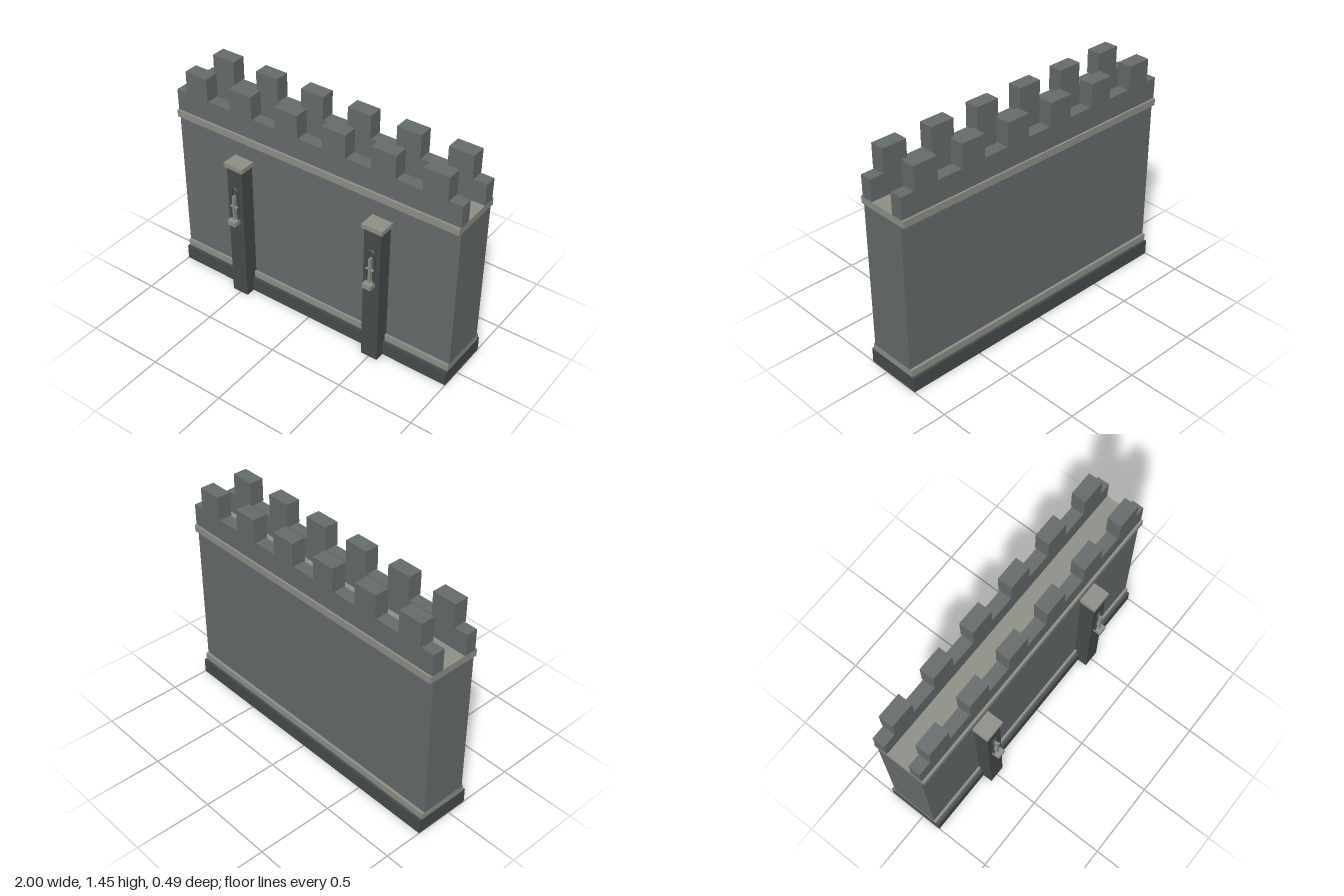
import * as THREE from 'three';

const stone = new THREE.MeshStandardMaterial({ name: 'wall stone', color: 0x676c6c });
const trim = new THREE.MeshStandardMaterial({ name: 'pale trim stone', color: 0x8f9189 });
const dark = new THREE.MeshStandardMaterial({ name: 'dark stone', color: 0x464c4c });

// Box given by its extents on each axis
function block(parent, name, material, [x0, x1], [y0, y1], [z0, z1]) {
  const mesh = new THREE.Mesh(new THREE.BoxGeometry(x1 - x0, y1 - y0, z1 - z0), material);
  mesh.position.set((x0 + x1) / 2, (y0 + y1) / 2, (z0 + z1) / 2);
  mesh.name = name;
  parent.add(mesh);
  return mesh;
}

// Small arched window: rounded frame, cross bars and a sill
function createWindow() {
  const group = new THREE.Group();
  group.name = 'archedWindow';
  const r = 0.022, tube = 0.007, z = 0.205, bottom = 0.597, spring = 0.8;

  const arch = new THREE.Mesh(new THREE.TorusGeometry(r, tube, 8, 16, Math.PI), dark);
  arch.position.set(0, spring, z);
  arch.name = 'windowArch';
  group.add(arch);
  for (const side of [-1, 1]) {
    const jamb = new THREE.Mesh(new THREE.CylinderGeometry(tube, tube, spring - bottom, 8), dark);
    jamb.position.set(side * r, (spring + bottom) / 2, z);
    jamb.name = 'windowJamb';
    group.add(jamb);
  }

  block(group, 'windowUpright', trim, [-0.006, 0.006], [bottom, 0.77], [0.197, 0.224]);
  block(group, 'windowCrossbar', trim, [-0.027, 0.027], [0.687, 0.697], [0.205, 0.22]);
  block(group, 'windowSill', trim, [-0.029, 0.029], [0.565, bottom], [0.19, 0.248]);
  return group;
}

// Pilaster with cap and window
function createPilaster(x) {
  const group = new THREE.Group();
  group.name = 'pilaster';
  block(group, 'pilasterShaft', dark, [-0.057, 0.057], [0, 0.955], [0.09, 0.197]);
  block(group, 'pilasterCap', trim, [-0.07, 0.07], [0.955, 0.985], [0.09, 0.209]);
  group.add(createWindow());
  group.position.x = x;
  return group;
}

export function createModel() {
  const model = new THREE.Group();
  model.name = 'castleWall';
  const full = [-1, 1];

  // Stacked wall courses
  block(model, 'plinth', dark, full, [0, 0.1], [-0.245, 0.133]);
  block(model, 'lowerBand', trim, full, [0.1, 0.145], [-0.228, 0.115]);
  block(model, 'wallBody', stone, full, [0.145, 1.105], [-0.21, 0.1]);
  block(model, 'walkway', trim, full, [1.105, 1.15], [-0.233, 0.122]);

  // Parapets with merlons along both edges
  const edges = [
    { name: 'front', wall: [0.03, 0.107], merlon: [0.022, 0.115] },
    { name: 'back', wall: [-0.22, -0.14], merlon: [-0.228, -0.134] },
  ];
  for (const edge of edges) {
    block(model, edge.name + 'Parapet', stone, full, [1.15, 1.29], edge.wall);
    for (let i = 0; i < 6; i++) {
      const x = (i - 2.5) / 3;
      block(model, edge.name + 'Merlon', stone, [x - 0.08, x + 0.08], [1.29, 1.445], edge.merlon);
    }
  }

  for (const x of [-0.5, 0.5]) model.add(createPilaster(x));
  return model;
}
